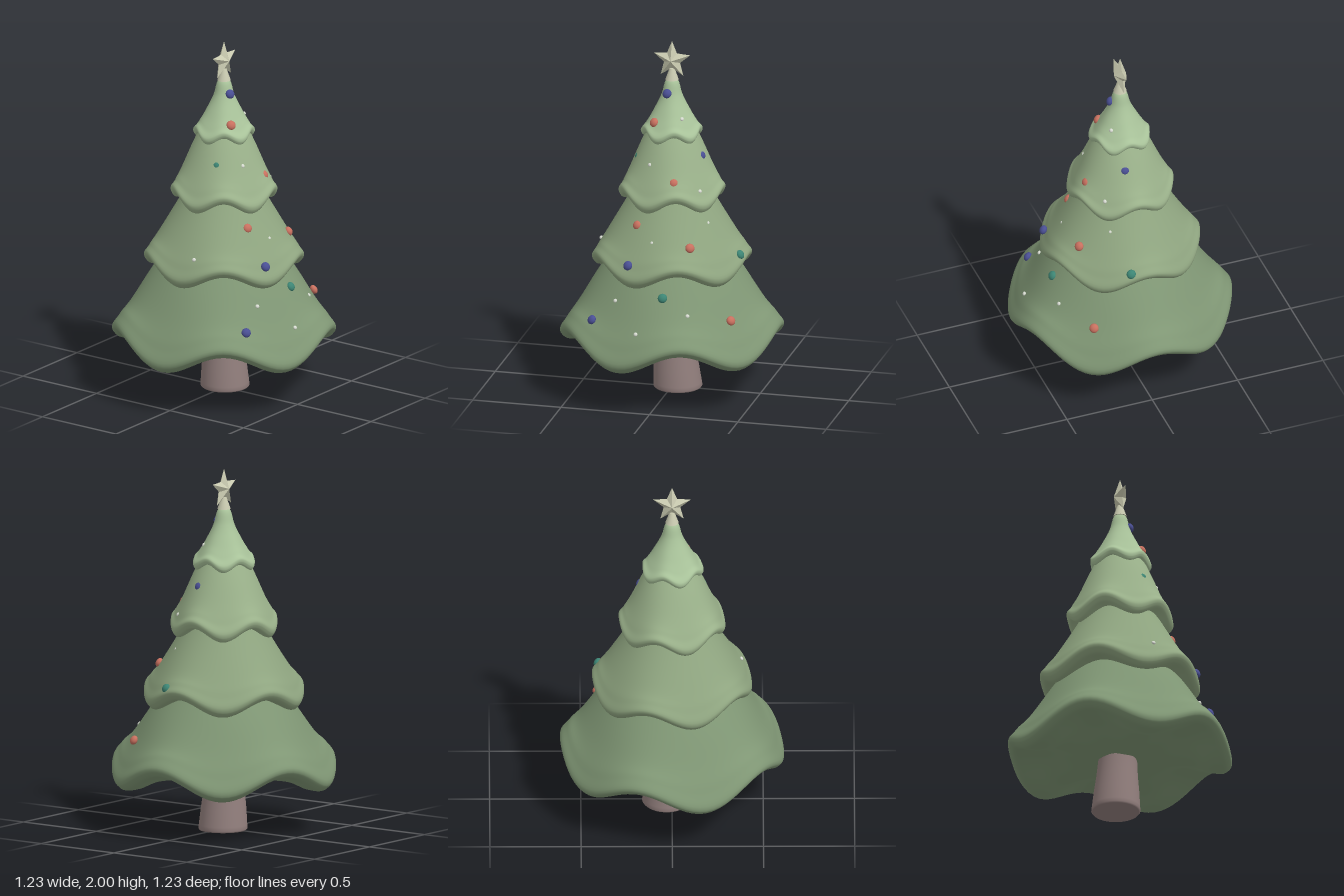
import * as THREE from 'three';
import { mergeVertices } from 'three/addons/utils/BufferGeometryUtils.js';

const mat = (color, extra = {}) => new THREE.MeshStandardMaterial({ color, ...extra });

function addMesh(parent, name, geometry, material) {
  const mesh = new THREE.Mesh(geometry, material);
  mesh.name = name;
  parent.add(mesh);
  return mesh;
}

// Weld the seam and rebuild smooth normals after a deformation
function smooth(geometry) {
  geometry.deleteAttribute('uv');
  geometry.deleteAttribute('normal');
  const welded = mergeVertices(geometry, 1e-5);
  welded.computeVertexNormals();
  return welded;
}

// A bell-shaped skirt whose hem rises and falls in five waves.
// Each profile point is [radius, height, wave weight], from the rim upwards.
function tierGeometry({ lip, amp, pinch = 0, core, outer }) {
  const [R, y] = outer[0];
  const under = [
    [0.001, core, 0], [R * 0.35, core - 0.005, 0.12], [R * 0.65, y - lip * 0.55, 0.6],
    [R * 0.85, y - lip, 0.95], [R * 0.95, y - lip * 0.85, 1],
  ];
  const curve = new THREE.CatmullRomCurve3(
    [...under, ...outer].map(p => new THREE.Vector3(...p)), false, 'centripetal');
  const pts = curve.getPoints(54);
  const geo = new THREE.LatheGeometry(
    pts.map(p => new THREE.Vector2(Math.max(p.x, 0.0005), p.y)), 100);
  const pos = geo.attributes.position;
  for (let i = 0; i < pos.count; i++) {
    const x = pos.getX(i), z = pos.getZ(i);
    const wave = Math.cos(5 * Math.atan2(z, x)) * pts[i % pts.length].z;
    const s = 1 - pinch * wave;
    pos.setXYZ(i, x * s, pos.getY(i) + amp * wave, z * s);
  }
  return smooth(geo);
}

const TIERS = [
  { name: 'bottomTier', color: 0x7f9674, lip: 0.036, amp: 0.06, core: 0.3,
    outer: [[0.612, 0.335, 1], [0.575, 0.42, 0.75], [0.5, 0.52, 0.3], [0.37, 0.72, 0], [0.2, 0.95, 0]] },
  { name: 'lowerMiddleTier', color: 0x8fa580, lip: 0.03, amp: 0.042, core: 0.76,
    outer: [[0.435, 0.755, 1], [0.41, 0.825, 0.65], [0.35, 0.915, 0.2], [0.24, 1.1, 0], [0.13, 1.3, 0]] },
  { name: 'upperMiddleTier', color: 0x9bb28b, lip: 0.026, amp: 0.034, core: 1.13,
    outer: [[0.29, 1.138, 1], [0.268, 1.2, 0.65], [0.225, 1.29, 0.2], [0.155, 1.45, 0], [0.08, 1.6, 0]] },
  { name: 'topTier', color: 0xa9c39a, lip: 0.018, amp: 0.02, pinch: 0.035, core: 1.48,
    outer: [[0.166, 1.485, 1], [0.14, 1.535, 0.6], [0.1, 1.605, 0.2], [0.055, 1.7, 0], [0.032, 1.775, 0], [0.001, 1.79, 0]] },
];

// Flared trunk with a slight lean
function trunkGeometry() {
  const profile = [[0, 0], [0.128, 0], [0.135, 0.008], [0.133, 0.03], [0.125, 0.12],
    [0.114, 0.21], [0.107, 0.3], [0.1, 0.42], [0, 0.42]];
  const geo = new THREE.LatheGeometry(profile.map(p => new THREE.Vector2(...p)), 40);
  const pos = geo.attributes.position;
  for (let i = 0; i < pos.count; i++) {
    const k = Math.max(0, 1 - pos.getY(i) / 0.35);
    pos.setX(i, pos.getX(i) + 0.005 + 0.025 * k);
    pos.setZ(i, pos.getZ(i) - 0.01 - 0.005 * k);
  }
  return geo;
}

// Faceted five-pointed star: each rim edge joins a front and a back apex
function starGeometry(outer, inner, depth) {
  const rim = i => {
    const a = Math.PI / 2 + i * Math.PI / 5, r = i % 2 ? inner : outer;
    return [r * Math.cos(a), r * Math.sin(a), 0];
  };
  const v = [];
  for (let i = 0; i < 10; i++) {
    v.push(...rim(i), ...rim(i + 1), 0, 0, depth);
    v.push(...rim(i + 1), ...rim(i), 0, 0, -depth);
  }
  const geo = new THREE.BufferGeometry();
  geo.setAttribute('position', new THREE.Float32BufferAttribute(v, 3));
  geo.computeVertexNormals();
  return geo;
}

// Ornament sets: colour, radius and centres
const ORNAMENTS = [
  { name: 'blueBauble', color: 0x4a4f94, radius: 0.026, at: [
    [-0.015, 1.71, 0.052], [0.176, 1.365, 0.038], [-0.15, 0.815, 0.393], [-0.35, 0.49, 0.408]] },
  { name: 'redBauble', color: 0xc8705f, radius: 0.026, at: [
    [-0.075, 1.555, 0.103], [0.067, 1.255, 0.224], [-0.131, 1.005, 0.255],
    [0.18, 0.915, 0.308], [0.412, 0.515, 0.308]] },
  { name: 'tealBauble', color: 0x3d8574, radius: 0.026, at: [
    [-0.168, 1.345, 0.076], [0.408, 0.825, 0.088], [0.052, 0.65, 0.416]] },
  { name: 'whiteLight', color: 0xd8dcd2, radius: 0.011, at: [
    [0.077, 1.58, 0.081], [-0.078, 1.337, 0.185], [-0.206, 1.23, 0.14], [0.2, 1.2, 0.164],
    [0.24, 1.015, 0.147], [-0.029, 0.935, 0.328], [-0.382, 0.855, 0.076],
    [0.198, 0.565, 0.433], [-0.222, 0.605, 0.39], [-0.07, 0.47, 0.535]] },
];

export function createModel() {
  const tree = new THREE.Group();
  tree.name = 'decoratedTree';

  addMesh(tree, 'trunk', trunkGeometry(), mat(0x927f7d));
  for (const tier of TIERS) addMesh(tree, tier.name, tierGeometry(tier), mat(tier.color));

  // Star and the collar it stands on
  const gold = 0xc9cab0;
  const star = addMesh(tree, 'star', starGeometry(0.109, 0.048, 0.036), mat(gold, { flatShading: true }));
  star.position.y = 1.891;
  const collar = addMesh(tree, 'starCollar', new THREE.CylinderGeometry(0.014, 0.037, 0.065, 24), mat(gold));
  collar.position.y = 1.81;

  // Slightly flattened balls resting against the slope
  const forward = new THREE.Vector3(0, 0, 1);
  for (const { name, color, radius, at } of ORNAMENTS) {
    const group = new THREE.Group();
    group.name = name + 's';
    tree.add(group);
    const geo = new THREE.SphereGeometry(radius, 20, 14);
    const material = mat(color);
    for (const [x, y, z] of at) {
      const ball = addMesh(group, name, geo, material);
      ball.position.set(x, y, z);
      const out = new THREE.Vector3(x, 0.55 * Math.hypot(x, z), z).normalize();
      ball.quaternion.setFromUnitVectors(forward, out);
      ball.scale.z = 0.75;
    }
  }
  return tree;
}
